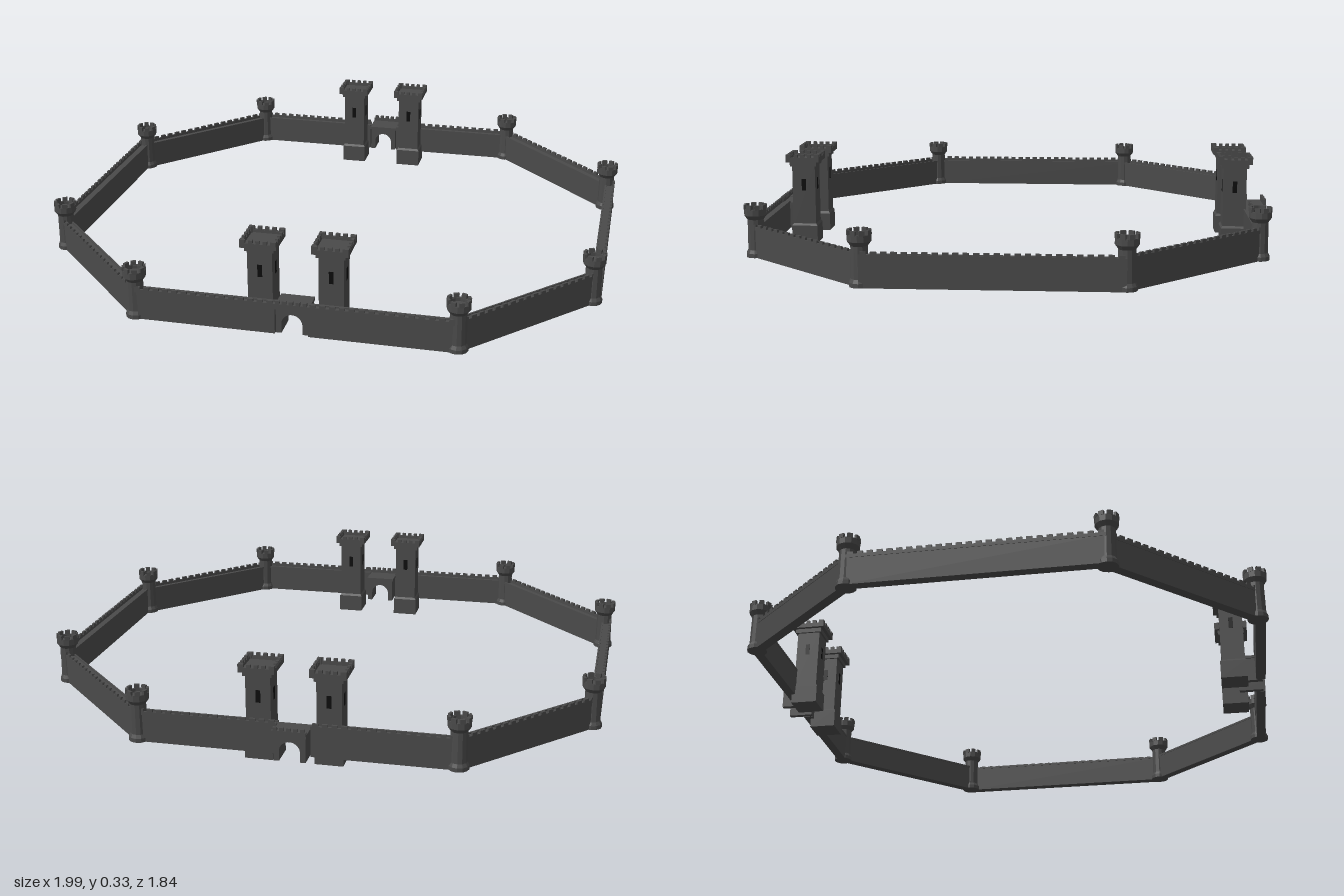
import * as THREE from 'three';
import { mergeGeometries } from 'three/addons/utils/BufferGeometryUtils.js';

const stone = new THREE.MeshStandardMaterial({ color: 0x4a4a4a, flatShading: true, side: THREE.DoubleSide });
const dark = new THREE.MeshStandardMaterial({ color: 0x0c0c0c });

const BOTTOM = 0.034; // underside of the curtain wall

// Box given by its centre in x and z and its bottom and top heights
function box(w, d, y0, y1, x = 0, z = 0) {
  return new THREE.BoxGeometry(w, y1 - y0, d).translate(x, (y0 + y1) / 2, z);
}

function mesh(name, geometries, material = stone) {
  const m = new THREE.Mesh(mergeGeometries(geometries), material);
  m.name = name;
  return m;
}

// Evenly spaced merlons along x
function merlons(length, count, fill, depth, y0, y1, z) {
  const step = length / count;
  return Array.from({ length: count }, (_, i) =>
    box(step * fill, depth, y0, y1, -length / 2 + step * (i + 0.5), z));
}

// Wall from a to b, outer side on the local +z
function wall(a, b, shift = 0) {
  const dx = b[0] - a[0], dz = b[1] - a[1], length = Math.hypot(dx, dz);
  const g = new THREE.Group();
  g.name = 'curtainWall';
  const count = Math.round(length / 0.032);
  g.add(mesh('wallBody', [box(length, 0.034, BOTTOM, 0.133, 0, shift)]));
  g.add(mesh('wallParapet', [
    box(length, 0.008, 0.13, 0.142, 0, shift + 0.0145),
    box(length, 0.006, 0.13, 0.138, 0, shift - 0.0155),
    ...merlons(length, count, 0.6, 0.008, 0.142, 0.151, shift + 0.0145),
  ]));
  g.position.set((a[0] + b[0]) / 2, 0, (a[1] + b[1]) / 2);
  g.rotation.y = Math.atan2(-dz, dx);
  return g;
}

// Round tower with flared foot and crenellated head
function cornerTower([x, z]) {
  const g = new THREE.Group();
  g.name = 'cornerTower';
  const profile = [[0, BOTTOM], [0.035, BOTTOM], [0.035, 0.048], [0.029, 0.06], [0.028, 0.165],
    [0.039, 0.18], [0.039, 0.202], [0.03, 0.202], [0.03, 0.19], [0, 0.19]]
    .map(([r, y]) => new THREE.Vector2(r, y));
  g.add(mesh('towerBody', [new THREE.LatheGeometry(profile, 12)]));
  const teeth = [];
  for (let i = 0; i < 8; i++) {
    teeth.push(box(0.018, 0.009, 0.2, 0.216, 0, 0.0345).rotateY((i + 0.5) * Math.PI / 4));
  }
  g.add(mesh('towerMerlons', teeth));
  g.position.set(x, 0, z);
  return g;
}

// Tall square tower beside a gate
function gateTower(x, z) {
  const g = new THREE.Group();
  g.name = 'gateTower';
  g.add(mesh('towerBase', [
    box(0.095, 0.095, 0, 0.065),
    new THREE.CylinderGeometry(0.042 * Math.SQRT2, 0.0475 * Math.SQRT2, 0.008, 4)
      .rotateY(Math.PI / 4).translate(0, 0.069, 0),
  ]));
  g.add(mesh('towerShaft', [box(0.084, 0.084, 0.065, 0.295)]));
  const head = [box(0.098, 0.098, 0.288, 0.304), box(0.116, 0.116, 0.304, 0.311)];
  const windows = [];
  for (let i = 0; i < 4; i++) {
    const turn = i * Math.PI / 2;
    head.push(box(0.122, 0.01, 0.304, 0.321, 0, 0.056).rotateY(turn));
    head.push(...merlons(0.122, 5, 0.55, 0.01, 0.321, 0.332, 0.056).map(b => b.rotateY(turn)));
    head.push(box(0.014, 0.014, 0.304, 0.332, 0.054, 0.054).rotateY(turn));
    windows.push(box(0.016, 0.002, 0.197, 0.24, 0, 0.042).rotateY(turn));
  }
  g.add(mesh('towerHead', head));
  g.add(mesh('towerWindows', windows, dark));
  g.position.set(x, 0, z);
  return g;
}

// Gate block with an arched passage, outer side on the local +z
function gate(x, z) {
  const g = new THREE.Group();
  g.name = 'gate';
  const s = new THREE.Shape();
  s.moveTo(-0.053, BOTTOM);
  s.lineTo(-0.035, BOTTOM);
  s.lineTo(-0.035, 0.067);
  s.absarc(0, 0.067, 0.035, Math.PI, 0, true);
  s.lineTo(0.035, BOTTOM);
  s.lineTo(0.053, BOTTOM);
  s.lineTo(0.053, 0.128);
  s.lineTo(-0.053, 0.128);
  const block = new THREE.ExtrudeGeometry(s, { depth: 0.086, bevelEnabled: false, curveSegments: 10 });
  g.add(mesh('gateArch', [block.translate(0, 0, -0.048)]));
  g.add(mesh('gateParapet', [
    box(0.114, 0.096, 0.122, 0.132),
    box(0.114, 0.01, 0.13, 0.142, 0, 0.043),
    ...merlons(0.114, 5, 0.6, 0.01, 0.142, 0.153, 0.043),
  ]));
  g.position.set(x, 0, z);
  return g;
}

export function createModel() {
  const root = new THREE.Group();
  root.name = 'castleWalls';

  // Corners in order around the ring, starting at the front
  const corners = [[-0.518, 0.874], [0.556, 0.874], [0.952, 0.447], [0.957, -0.388],
    [0.513, -0.847], [-0.556, -0.847], [-0.952, -0.415], [-0.957, 0.42]];
  corners.forEach(c => root.add(cornerTower(c)));

  // Plain sides
  const shifts = { 2: 0.014, 6: 0.01 };
  for (const i of [1, 2, 3, 5, 6, 7]) {
    root.add(wall(corners[i], corners[(i + 1) % 8], shifts[i] ?? 0));
  }

  // Front and back sides, interrupted by the gates
  root.add(wall(corners[0], [-0.036, 0.874], 0.008), wall([0.074, 0.874], corners[1], 0.008));
  root.add(wall(corners[4], [0.036, -0.847], 0.002), wall([-0.078, -0.847], corners[5], 0.002));

  const frontGate = gate(0.019, 0.852);
  const backGate = gate(-0.021, -0.878);
  backGate.rotation.y = Math.PI;
  root.add(frontGate, backGate);

  root.add(gateTower(-0.102, 0.787), gateTower(0.136, 0.787));
  root.add(gateTower(-0.134, -0.797), gateTower(0.102, -0.797));
  return root;
}
